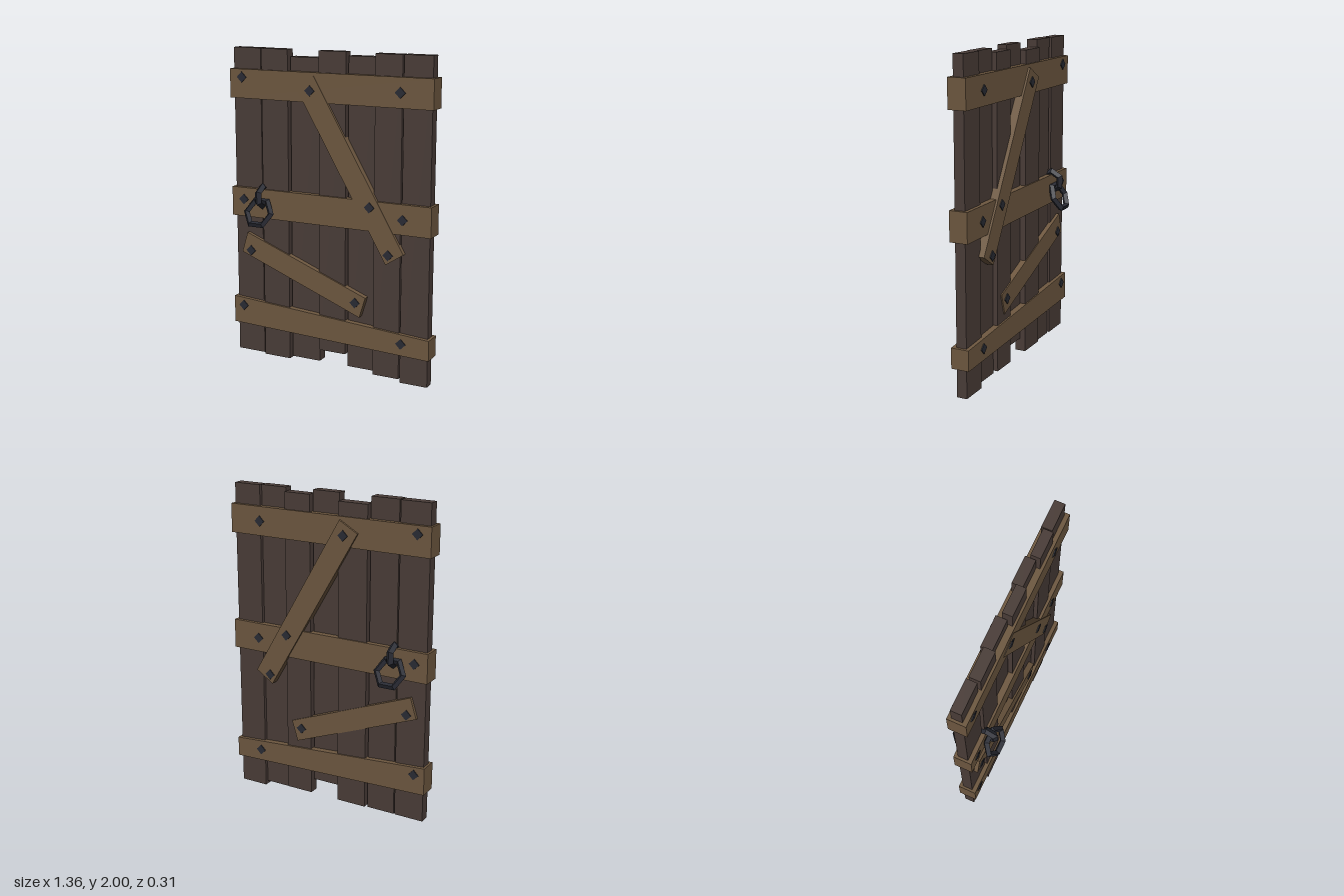
import * as THREE from 'three';

const material = (name, color) => {
  const m = new THREE.MeshStandardMaterial({ color, flatShading: true });
  m.name = name;
  return m;
};

export function createModel() {
  const door = new THREE.Group();
  door.name = 'woodenDoor';
  const darkWood = material('darkWood', 0x4a3d38);
  const lightWood = material('lightWood', 0x6e5840);
  const iron = material('iron', 0x292b34);

  const add = (parent, name, geometry, mat, x = 0, y = 0, z = 0) => {
    const mesh = new THREE.Mesh(geometry, mat);
    mesh.name = name;
    mesh.position.set(x, y, z);
    parent.add(mesh);
    return mesh;
  };

  // Uneven upright planks: left, right, bottom, top, back, front
  [
    [-0.665, -0.475, 0.035, 2.0, -0.035, 0.03],
    [-0.463, -0.28, 0.03, 2.0, -0.025, 0.043],
    [-0.272, -0.077, 0.04, 1.955, -0.05, 0.018],
    [-0.067, 0.113, 0.125, 2.0, -0.018, 0.043],
    [0.12, 0.295, 0.04, 1.975, -0.047, 0.018],
    [0.302, 0.475, 0.025, 1.997, -0.02, 0.04],
    [0.48, 0.66, 0, 1.997, -0.035, 0.03],
  ].forEach(([x0, x1, y0, y1, z0, z1], i) => {
    add(door, `plank${i + 1}`, new THREE.BoxGeometry(x1 - x0, y1 - y0, z1 - z0), darkWood,
      (x0 + x1) / 2, (y0 + y1) / 2, (z0 + z1) / 2);
  });

  // Boards cut as four-cornered outlines through the door's thickness
  const board = (name, corners, back, front) => {
    const shape = new THREE.Shape(corners.map(([x, y]) => new THREE.Vector2(x, y)));
    const geometry = new THREE.ExtrudeGeometry(shape, { depth: front - back, bevelEnabled: false });
    add(door, name, geometry, lightWood, 0, 0, back);
  };
  board('topBar', [[-0.68, 1.69], [0.677, 1.69], [0.677, 1.87], [-0.68, 1.87]], -0.058, 0.057);
  board('middleBar', [[-0.68, 0.94], [0.677, 0.94], [0.677, 1.125], [-0.68, 1.125]], -0.058, 0.057);
  board('bottomBar', [[-0.68, 0.225], [0.677, 0.18], [0.677, 0.308], [-0.68, 0.4]], -0.058, 0.057);
  board('longBrace', [[0.39, 0.745], [0.505, 0.82], [-0.095, 1.85], [-0.217, 1.78]], -0.071, 0.06);
  board('shortBrace', [[-0.615, 0.705], [0.215, 0.385], [0.255, 0.515], [-0.575, 0.835]], -0.055, 0.055);

  // Diamond nail heads on both faces: x, y, back surface, front surface
  const bar = [-0.058, 0.057], long = [-0.071, 0.06], short = [-0.055, 0.055];
  const nail = new THREE.BoxGeometry(0.047, 0.047, 0.012);
  nail.rotateZ(Math.PI / 4);
  [
    [-0.595, 1.82, bar], [0.47, 1.78, bar],
    [-0.595, 1.05, bar], [0.495, 1.03, bar],
    [-0.61, 0.345, bar], [0.495, 0.26, bar],
    [-0.12, 1.76, long], [0.28, 1.085, long], [0.405, 0.805, long],
    [-0.55, 0.72, short], [0.185, 0.475, short],
  ].forEach(([x, y, faces]) => {
    faces.forEach((z) => add(door, 'nailHead', nail, iron, x, y, z));
  });

  // Ring pull hanging from a staple, on the front and the back
  const staple = new THREE.TorusGeometry(0.062, 0.023, 4, 6);
  staple.rotateZ(Math.PI / 6);
  staple.rotateY(Math.PI / 2);
  const ring = new THREE.TorusGeometry(0.087, 0.021, 4, 6);
  ring.rotateX(-0.46);
  ['frontHandle', 'backHandle'].forEach((name, i) => {
    const handle = new THREE.Group();
    handle.name = name;
    handle.position.x = -0.46;
    handle.rotation.y = i * Math.PI;
    add(handle, 'staple', staple, iron, 0, 1.08, 0.053);
    add(handle, 'ring', ring, iron, 0, 0.985, 0.105);
    door.add(handle);
  });

  return door;
}
